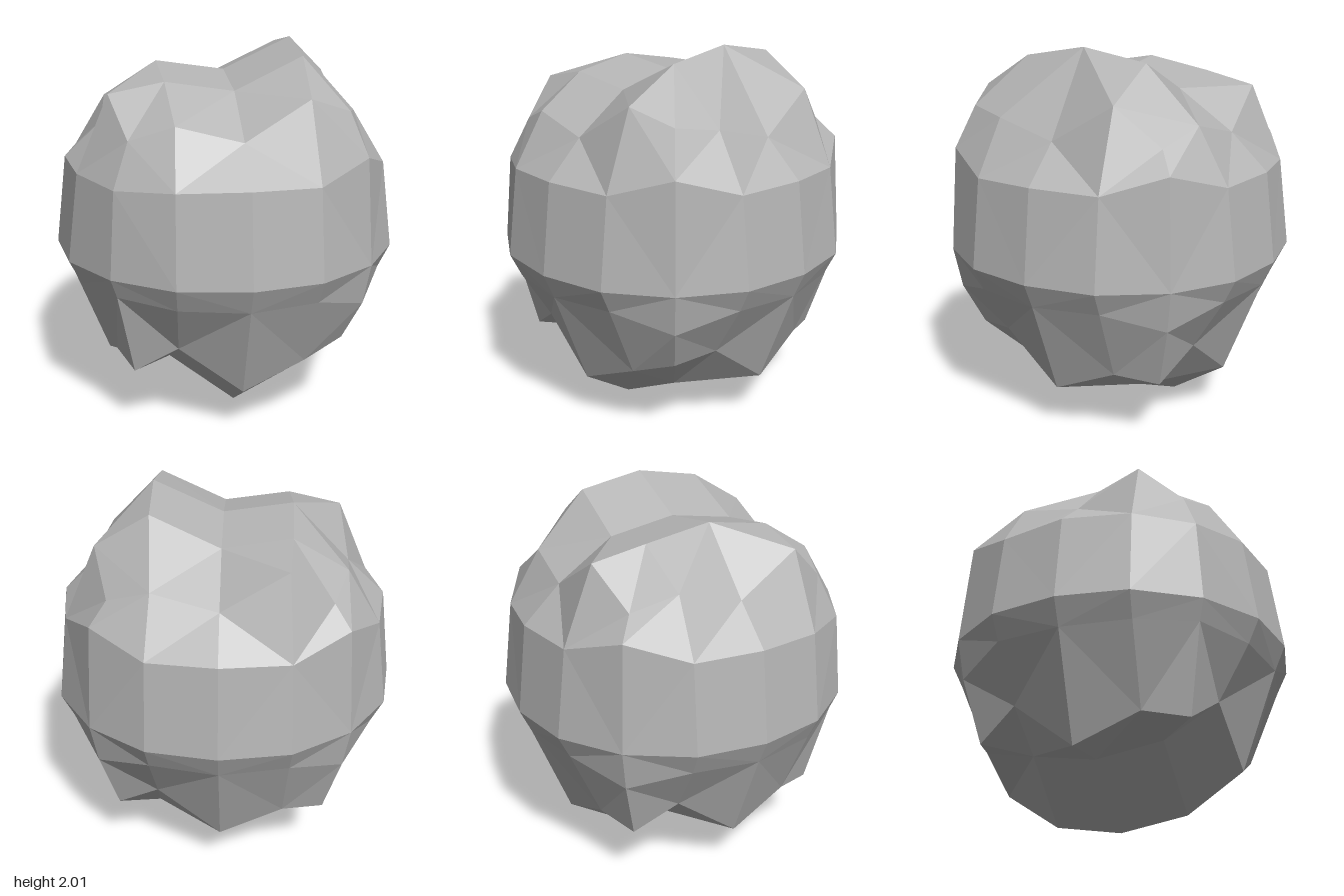
import * as THREE from 'three';

const STEP = 0.113; // height of one jagged step
const MID = 0.92;   // height of the boulder's widest ring

// How many steps (0 to 2) a lattice point is lifted
function lift(i, j, k) {
  if (j === 0) return 0;
  const corner = Math.abs(i) === 2 && Math.abs(k) === 2;
  let f;
  if (Math.abs(j) === 1) {
    f = corner && !(i === -2 && k === 2) ? 2 : 1;
  } else if (corner) {
    const f2 = i === 2 && k === 2 ? 2 : 1;
    return j > 0 ? f2 : f2 - 1;
  } else {
    // rim points swirl around the cap, inner points follow x
    const t = Math.abs(k) === 2 ? i * Math.sign(k)
      : Math.abs(i) === 2 ? -k * Math.sign(i) : i;
    f = t === 1 ? 2 : t === -1 ? 1 : 0;
  }
  return j > 0 ? f : (3 - f) % 3;
}

// Rounded-cube position of lattice point (each index -2..2), then lifted
function point(q) {
  const twos = q.filter((v) => Math.abs(v) === 2).length;
  const ones = q.filter((v) => Math.abs(v) === 1).length;
  const big = twos === 3 ? 0.55
    : twos === 2 ? (ones ? 0.63 : 0.66)
    : [0.92, 0.86, 0.8][ones];
  const small = twos === 2 ? 0.33 : ones === 2 ? 0.35 : 0.36;
  const p = q.map((v) => Math.sign(v) * (Math.abs(v) === 2 ? big : Math.abs(v) === 1 ? small : 0));
  return new THREE.Vector3(p[0], p[1] + MID + STEP * lift(...q), p[2]);
}

function boulderGeometry() {
  const out = [];
  for (let axis = 0; axis < 3; axis++) {
    for (const side of [-2, 2]) {
      const at = (u, v) => {
        const q = [0, 0, 0];
        q[axis] = side;
        q[(axis + 1) % 3] = u;
        q[(axis + 2) % 3] = v;
        return point(q);
      };
      for (let u = -2; u < 2; u++) {
        for (let v = -2; v < 2; v++) {
          const c = [at(u, v), at(u + 1, v), at(u + 1, v + 1), at(u, v + 1)];
          if (side < 0) c.reverse();
          // split each quad along its shorter diagonal
          const order = c[0].distanceTo(c[2]) <= c[1].distanceTo(c[3])
            ? [0, 1, 2, 0, 2, 3] : [0, 1, 3, 1, 2, 3];
          for (const n of order) out.push(...c[n].toArray());
        }
      }
    }
  }
  const geometry = new THREE.BufferGeometry();
  geometry.setAttribute('position', new THREE.Float32BufferAttribute(out, 3));
  geometry.computeVertexNormals();
  return geometry;
}

export function createModel() {
  const stone = new THREE.MeshStandardMaterial({ color: 0xb4b4b4, flatShading: true });
  stone.name = 'grey stone';
  const boulder = new THREE.Mesh(boulderGeometry(), stone);
  boulder.name = 'boulder';
  const group = new THREE.Group();
  group.name = 'rock';
  group.add(boulder);
  return group;
}
